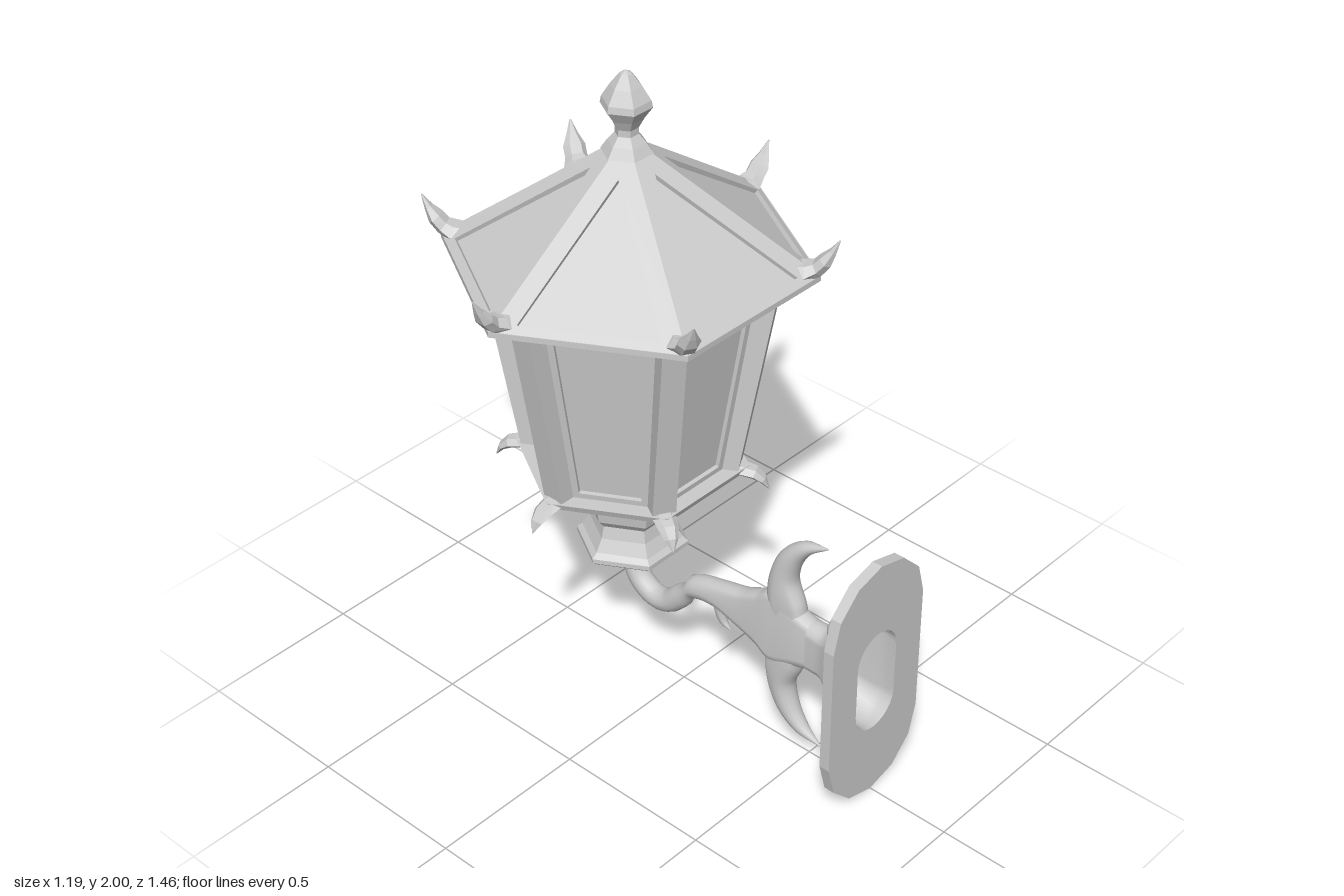
import * as THREE from 'three';

const AXIS_Z = -0.21; // lantern axis
const ARM_Y = 0.41;
const flat = new THREE.MeshStandardMaterial({ color: 0xcccccc, flatShading: true });
const smooth = new THREE.MeshStandardMaterial({ color: 0xcccccc });
const open = new THREE.MeshStandardMaterial({ color: 0xcccccc, side: THREE.DoubleSide });

function add(parent, name, geometry, material = flat) {
  const mesh = new THREE.Mesh(geometry, material);
  mesh.name = name;
  parent.add(mesh);
  return mesh;
}

// Sweep along a path in the xy plane; sections are [x, y, half width in z, half thickness]
function sweep(sections, { sides = 14, steps = 0, caps = true } = {}) {
  let rows = sections;
  if (steps) {
    const path = new THREE.CatmullRomCurve3(sections.map(s => new THREE.Vector3(s[0], s[1], 0)));
    const size = new THREE.CatmullRomCurve3(sections.map(s => new THREE.Vector3(s[2], s[3], 0)));
    rows = [];
    for (let i = 0; i <= steps; i++) {
      const p = path.getPoint(i / steps), s = size.getPoint(i / steps);
      rows.push([p.x, p.y, Math.max(s.x, 0.001), Math.max(s.y, 0.001)]);
    }
  }
  const pos = [], index = [], last = rows.length - 1;
  rows.forEach(([x, y, w, t], i) => {
    const a = rows[Math.max(i - 1, 0)], b = rows[Math.min(i + 1, last)];
    const len = Math.hypot(b[0] - a[0], b[1] - a[1]);
    const tx = (b[0] - a[0]) / len, ty = (b[1] - a[1]) / len;
    for (let j = 0; j < sides; j++) {
      const ang = (j + 0.5) / sides * Math.PI * 2, c = Math.cos(ang);
      // taller than wide: straight sided with round ends, otherwise an ellipse
      const n = t > w ? w * c + (t - w) * Math.sign(c) : t * c;
      pos.push(x - ty * n, y + tx * n, w * Math.sin(ang));
      if (i < last) {
        const p = i * sides + j, q = i * sides + (j + 1) % sides;
        index.push(p, q, p + sides, q, q + sides, p + sides);
      }
    }
  });
  if (caps) {
    const c = pos.length / 3;
    pos.push(rows[0][0], rows[0][1], 0, rows[last][0], rows[last][1], 0);
    for (let j = 0; j < sides; j++) {
      const k = (j + 1) % sides;
      index.push(c, k, j, c + 1, last * sides + j, last * sides + k);
    }
  }
  const g = new THREE.BufferGeometry();
  g.setAttribute('position', new THREE.Float32BufferAttribute(pos, 3));
  g.setIndex(index);
  g.computeVertexNormals();
  return g;
}

// Upright slot outline with half width w and half height h
function slot(w, h, n) {
  const pts = [];
  for (let end = 0; end < 2; end++)
    for (let i = 0; i <= n; i++) {
      const a = Math.PI * (end + i / n);
      pts.push(new THREE.Vector2(w * Math.cos(a), w * Math.sin(a) + (end ? w - h : h - w)));
    }
  return pts;
}

// Hexagonal frustum with corners on the x axis
function hex(top, bottom, y0, y1) {
  return new THREE.CylinderGeometry(top, bottom, y1 - y0, 6)
    .rotateY(Math.PI / 6).translate(0, (y0 + y1) / 2, 0);
}

function hexLathe(profile) {
  return new THREE.LatheGeometry(profile.map(p => new THREE.Vector2(...p)), 6).rotateY(Math.PI / 6);
}

// Sloping frame for one hexagon side, from corner radius r0 at y0 to r1 at y1
function sideFrame(r0, y0, r1, y1, margin, end0, end1, depth) {
  const k = Math.sqrt(3) / 2, lean = (r0 - r1) * k, len = Math.hypot(lean, y1 - y0);
  const half = v => r0 / 2 + (r1 - r0) / 2 * v / len;
  const quad = (a, b, m) => [[-half(a) + m, a], [half(a) - m, a], [half(b) - m, b], [-half(b) + m, b]]
    .map(p => new THREE.Vector2(...p));
  const shape = new THREE.Shape(quad(0, len, 0));
  shape.holes.push(new THREE.Path(quad(end0, len - end1, margin)));
  return new THREE.ExtrudeGeometry(shape, { depth, bevelEnabled: false })
    .translate(0, 0, -depth).rotateX(-Math.atan2(lean, y1 - y0)).translate(0, y0, r0 * k);
}

function buildLantern() {
  const g = new THREE.Group();
  g.name = 'lantern';
  g.position.z = AXIS_Z;

  // Socket and floor
  add(g, 'socket', hexLathe([[0, 0.42], [0.16, 0.42], [0.172, 0.43], [0.172, 0.445], [0.155, 0.46], [0.132, 0.5],
    [0.122, 0.54], [0.142, 0.565], [0.148, 0.6], [0.142, 0.63], [0.122, 0.645], [0.142, 0.67], [0.17, 0.71]]));
  add(g, 'lowerFloor', hex(0.28, 0.28, 0.708, 0.732));
  add(g, 'floor', hex(0.355, 0.345, 0.73, 0.752));

  // Glass and roof shell
  add(g, 'glass', hex(0.385, 0.285, 0.75, 1.42));
  add(g, 'eaveRim', hex(0.545, 0.545, 1.41, 1.427));
  add(g, 'roofPanels', hex(0.02, 0.522, 1.425, 1.768));

  // Finial
  add(g, 'finial', hexLathe([[0.075, 1.755], [0.055, 1.785], [0.034, 1.81], [0.034, 1.83], [0.05, 1.86],
    [0.074, 1.895], [0.07, 1.915], [0.045, 1.955], [0.018, 1.99], [0, 2.0]]));

  // Repeated sides, each with the pieces on the corner along its x axis
  const windowFrame = sideFrame(0.3, 0.75, 0.4, 1.42, 0.06, 0.02, 0.02, 0.022);
  const roofFrame = sideFrame(0.545, 1.425, 0.045, 1.772, 0.06, 0.03, 0.08, 0.016);
  const post = sweep([[0.288, 0.745, 0.05, 0.052], [0.4, 1.415, 0.05, 0.055]], { sides: 4 });
  const roofSpike = sweep([[0.46, 1.435, 0.04, 0.026], [0.505, 1.438, 0.046, 0.028], [0.535, 1.452, 0.034, 0.024],
    [0.557, 1.478, 0.034, 0.022], [0.576, 1.507, 0.018, 0.012], [0.595, 1.545, 0.002, 0.002]], { sides: 6 });
  const floorLeaf = sweep([[0.27, 0.742, 0.035, 0.016], [0.33, 0.74, 0.035, 0.018], [0.37, 0.73, 0.03, 0.018],
    [0.395, 0.71, 0.02, 0.012], [0.413, 0.678, 0.002, 0.002]], { sides: 6 });
  for (let i = 0; i < 6; i++) {
    const side = new THREE.Group();
    side.name = 'lanternSide';
    side.rotation.y = i * Math.PI / 3;
    add(side, 'windowFrame', windowFrame);
    add(side, 'roofFrame', roofFrame);
    add(side, 'cornerPost', post);
    add(side, 'roofSpike', roofSpike);
    add(side, 'floorLeaf', floorLeaf);
    g.add(side);
  }
  return g;
}

// Arm parts are drawn with x running along the model's z axis
function buildArm() {
  const g = new THREE.Group();
  g.name = 'bracketArm';
  g.rotation.y = -Math.PI / 2;
  add(g, 'flare', sweep([[0.728, ARM_Y, 0.085, 0.17], [0.695, ARM_Y, 0.084, 0.17], [0.65, ARM_Y, 0.074, 0.155],
    [0.6, ARM_Y, 0.06, 0.125], [0.55, ARM_Y, 0.043, 0.086], [0.5, ARM_Y, 0.04, 0.086]],
  { sides: 24, steps: 16, caps: false }), open);
  add(g, 'arm', sweep([[0.53, 0.41, 0.036, 0.076], [0.45, 0.41, 0.042, 0.1], [0.36, 0.41, 0.042, 0.13],
    [0.31, 0.408, 0.042, 0.1], [0.244, 0.404, 0.04, 0.072], [0.138, 0.403, 0.038, 0.045], [0.048, 0.38, 0.037, 0.037],
    [-0.01, 0.315, 0.037, 0.037], [-0.06, 0.27, 0.037, 0.037], [-0.117, 0.26, 0.037, 0.037],
    [-0.175, 0.295, 0.037, 0.037], [-0.207, 0.36, 0.037, 0.037], [-0.21, 0.43, 0.037, 0.037]], { steps: 60 }), smooth);

  // Mirrored crescent leaves
  for (const s of [1, -1]) {
    const leaf = [[0.43, 0.04, 0.036, 0.05], [0.4, 0.1, 0.04, 0.062], [0.387, 0.19, 0.04, 0.045],
      [0.413, 0.27, 0.035, 0.036], [0.465, 0.33, 0.024, 0.022], [0.54, 0.365, 0.002, 0.002]];
    add(g, 'crescentLeaf', sweep(leaf.map(([x, y, w, t]) => [x, ARM_Y + s * y, w, t]), { steps: 24 }), smooth);
  }
  add(g, 'spur', sweep([[0.14, 0.385, 0.02, 0.025], [0.148, 0.335, 0.018, 0.018], [0.162, 0.305, 0.012, 0.011],
    [0.185, 0.29, 0.002, 0.002]], { sides: 8, steps: 10 }), smooth);
  return g;
}

function buildWallPlate() {
  const g = new THREE.Group();
  g.name = 'wallMount';
  const shape = new THREE.Shape(slot(0.197, 0.408, 6));
  shape.holes.push(new THREE.Path(slot(0.085, 0.17, 12)));
  add(g, 'wallPlate', new THREE.ExtrudeGeometry(shape, { depth: 0.034, bevelEnabled: false }))
    .position.set(0, 0.408, 0.696);

  // Round bolt heads
  const dome = new THREE.SphereGeometry(0.044, 16, 8, 0, Math.PI * 2, 0, Math.PI / 2).rotateX(-Math.PI / 2);
  for (const x of [-0.118, 0.118])
    for (const y of [0.178, 0.642])
      add(g, 'boltHead', dome, smooth).position.set(x, y, 0.696);
  return g;
}

export function createModel() {
  const model = new THREE.Group();
  model.name = 'wallLantern';
  model.add(buildLantern(), buildArm(), buildWallPlate());
  return model;
}
